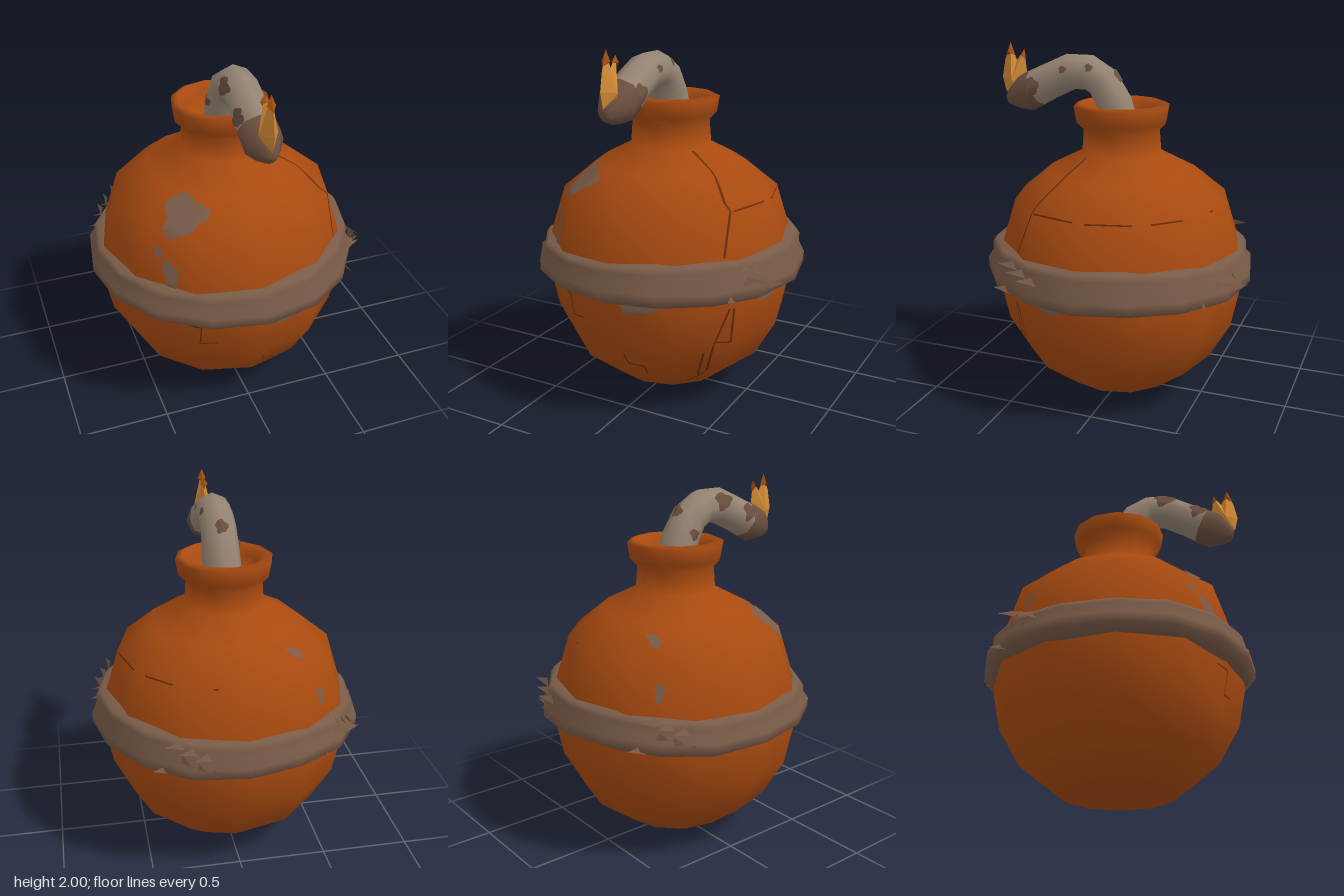
import * as THREE from 'three';
import { mergeVertices } from 'three/addons/utils/BufferGeometryUtils.js';

const V = (x, y, z) => new THREE.Vector3(x, y, z);

function meshFrom(positions, index, material, name) {
  const g = new THREE.BufferGeometry();
  g.setAttribute('position', new THREE.Float32BufferAttribute(positions, 3));
  if (index) g.setIndex(index);
  g.computeVertexNormals();
  const m = new THREE.Mesh(g, material);
  m.name = name;
  return m;
}

// Lathe with welded seam, each vertex moved by a rule
function turned(profile, sides, rule, material, name) {
  let g = new THREE.LatheGeometry(profile.map(p => new THREE.Vector2(...p)), sides);
  g.deleteAttribute('uv');
  g.deleteAttribute('normal');
  g = mergeVertices(g, 1e-4);
  const pos = g.attributes.position, v = V();
  for (let i = 0; i < pos.count; i++) {
    rule(v.fromBufferAttribute(pos, i));
    pos.setXYZ(i, v.x, v.y, v.z);
  }
  g.computeVertexNormals();
  const m = new THREE.Mesh(g, material);
  m.name = name;
  return m;
}

// Tube along [z, y, radius] stations
function swept(stations, x, sides, material, name) {
  const pos = [], idx = [], last = stations.length - 1;
  stations.forEach(([z, y, r], i) => {
    const a = stations[Math.max(0, i - 1)], b = stations[Math.min(last, i + 1)];
    const len = Math.hypot(b[0] - a[0], b[1] - a[1]);
    const tz = (b[0] - a[0]) / len, ty = (b[1] - a[1]) / len;
    for (let j = 0; j < sides; j++) {
      const t = j / sides * Math.PI * 2, c = r * Math.cos(t), s = r * Math.sin(t);
      pos.push(x + c, y + s * tz, z - s * ty);
      if (i < last) {
        const p = i * sides + j, q = i * sides + (j + 1) % sides;
        idx.push(p, q, p + sides, q, q + sides, p + sides);
      }
    }
  });
  return meshFrom(pos, idx, material, name);
}

// Drop a point onto a mesh, lifted slightly off it
const ray = new THREE.Raycaster();
function drop(target, from, dir, lift) {
  ray.set(from, dir);
  const hit = ray.intersectObject(target)[0];
  return hit ? hit.point.addScaledVector(hit.face.normal, lift) : null;
}

function frame(dir) {
  const right = dir.clone().cross(Math.abs(dir.y) > 0.95 ? V(0, 0, -1) : V(0, 1, 0)).normalize();
  return [right, right.clone().cross(dir)];
}

// Ragged painted spot laid over a surface
function spot(target, at, dir, w, h, material, name) {
  dir.normalize();
  const [u, v] = frame(dir), pos = [], idx = [], n = 18, rings = 4;
  let prev = at;
  for (let k = 0; k <= rings; k++) for (let j = 0; j < n; j++) {
    const t = j / n * Math.PI * 2;
    const r = k / rings * (1 + 0.15 * Math.sin(3 * t + 1) + 0.12 * Math.sin(5 * t));
    const from = at.clone().addScaledVector(u, r * w * Math.cos(t))
      .addScaledVector(v, r * h * Math.sin(t)).addScaledVector(dir, -1);
    prev = drop(target, from, dir, 0.007) || prev;
    pos.push(prev.x, prev.y, prev.z);
    if (k < rings) {
      const a = k * n + j, b = k * n + (j + 1) % n;
      idx.push(a, a + n, b + n, a, b + n, b);
    }
  }
  return meshFrom(pos, idx, material, name);
}

// Thin crack line through 2D points, laid over a surface along dir
function crack(target, points, dir, material) {
  const [u, v] = frame(dir), pos = [], idx = [];
  for (let i = 0; i < points.length - 1; i++) {
    const a = points[i], b = points[i + 1], l = Math.hypot(b[0] - a[0], b[1] - a[1]);
    const nx = -(b[1] - a[1]) / l * 0.004, ny = (b[0] - a[0]) / l * 0.004;
    const base = pos.length / 3, steps = 8;
    for (let k = 0; k <= steps; k++) for (const s of [-1, 1]) {
      const f = k / steps;
      const from = u.clone().multiplyScalar(a[0] + (b[0] - a[0]) * f + s * nx)
        .addScaledVector(v, a[1] + (b[1] - a[1]) * f + s * ny).addScaledVector(dir, -2);
      const p = drop(target, from, dir, 0.004) || from.addScaledVector(dir, 2);
      pos.push(p.x, p.y, p.z);
      if (k < steps && s < 0) {
        const q = base + k * 2;
        idx.push(q, q + 2, q + 1, q + 1, q + 2, q + 3);
      }
    }
  }
  return meshFrom(pos, idx, material, 'crack');
}

// Faceted flame: [z, y] outline swelling to a ridge on both sides
function flamePart(outline, [cz, cy], x, half, material, name) {
  const pos = [];
  outline.forEach((p, i) => {
    const q = outline[(i + 1) % outline.length];
    pos.push(x + half, cy, cz, x, p[1], p[0], x, q[1], q[0]);
    pos.push(x - half, cy, cz, x, q[1], q[0], x, p[1], p[0]);
  });
  return meshFrom(pos, null, material, name);
}

export function createModel() {
  const mat = (name, color, side = THREE.FrontSide) =>
    Object.assign(new THREE.MeshStandardMaterial({ color, side }), { name });
  const clay = mat('clay', 0xa84a10);
  const cloth = mat('cloth', 0x795b48, THREE.DoubleSide);
  const cord = mat('cord', 0x958473);
  const char = mat('char', 0x6b4f3f);
  const dark = mat('crack', 0x6a2c0a, THREE.DoubleSide);
  const fire = mat('flame', 0xd48c35, THREE.DoubleSide);
  const ember = mat('ember', 0xa8520f, THREE.DoubleSide);
  const group = new THREE.Group();

  // Round pot with neck, rolled rim and hollow mouth
  const dent = V(-0.42, 0.6, 0.56);
  const pot = turned([[0, 0], [0.33, 0.075], [0.54, 0.24], [0.66, 0.45], [0.705, 0.67], [0.69, 0.9],
    [0.605, 1.17], [0.42, 1.32], [0.225, 1.42], [0.215, 1.55], [0.255, 1.59], [0.27, 1.68],
    [0.235, 1.695], [0.185, 1.64], [0.17, 1.56], [0, 1.54]], 12, v => {
    const d = v.distanceTo(dent);
    if (d < 0.25) v.multiply(V(0.94, 1, 0.94));
  }, clay, 'pot');
  group.add(pot);

  // Cloth band wrapped around the middle, slightly uneven
  group.add(turned([[0.66, 0.7], [0.715, 0.705], [0.765, 0.735], [0.765, 0.79], [0.735, 0.83],
    [0.735, 0.88], [0.715, 0.91], [0.65, 0.915]], 16, v => {
    const t = Math.atan2(v.x, v.z), k = 1 + 0.008 * Math.sin(5 * t) + 0.006 * Math.sin(3 * t + 1);
    v.set(v.x * k, v.y + (v.y > 0.8 ? 0.022 * Math.sin(t) : 0) + 0.007 * Math.sin(4 * t), v.z * k);
  }, cloth, 'clothBand'));

  // Torn threads where the cloth is frayed
  const fray = [];
  for (const centre of [1.12, 2.73, -2.3]) for (let i = 0; i < 7; i++) {
    const t = centre + (i - 3) * 0.05, y = 0.74 + ((i * 3) % 7) * 0.027, s = i % 2 ? 1 : -1;
    const p = (r, a, h) => fray.push(r * Math.sin(a), h, r * Math.cos(a));
    p(0.735, t, y - 0.02);
    p(0.735, t + s * 0.04, y + 0.025);
    p(0.8, t + s * 0.11, y + 0.01);
  }
  group.add(meshFrom(fray, null, cloth, 'frayedThreads'));

  // Bent cord and its charred end
  const cordMesh = swept([[0.0, 1.53, 0.115], [0.04, 1.69, 0.105], [0.105, 1.8, 0.1], [0.19, 1.85, 0.1],
    [0.3, 1.85, 0.1], [0.43, 1.79, 0.1], [0.54, 1.735, 0.105]], 0.01, 8, cord, 'fuseCord');
  group.add(cordMesh);
  group.add(swept([[0.51, 1.75, 0.106], [0.585, 1.715, 0.108], [0.65, 1.69, 0.07], [0.69, 1.675, 0.035],
    [0.695, 1.673, 0.001]], 0.01, 8, char, 'charredEnd'));

  // Flame with two darker tips
  group.add(flamePart([[0.62, 1.67], [0.71, 1.72], [0.73, 1.8], [0.71, 1.9], [0.672, 1.99], [0.635, 1.9],
    [0.587, 1.96], [0.575, 1.85], [0.57, 1.76]], [0.65, 1.79], 0.01, 0.05, fire, 'flame'));
  group.add(flamePart([[0.704, 1.92], [0.672, 2.0], [0.645, 1.925]], [0.673, 1.945], 0.01, 0.024, ember, 'flameTip'));
  group.add(flamePart([[0.612, 1.928], [0.587, 1.965], [0.578, 1.9]], [0.592, 1.93], 0.01, 0.022, ember, 'flameTip'));

  // Worn spots on the pot: position, direction, half width, half height
  for (const [p, d, w, h] of [
    [[-0.32, 1.22, 0.36], [0.5, -0.8, -0.6], 0.115, 0.12],
    [[-0.44, 0.96, 0.5], [0, 0, -1], 0.032, 0.075],
    [[-0.48, 1.06, 0.42], [0, 0, -1], 0.02, 0.028],
    [[0.16, 0.69, 0.68], [0, 0, -1], 0.1, 0.04],
    [[0.69, 0.69, 0.16], [-1, 0, 0], 0.07, 0.025],
    [[-0.3, 1.22, -0.38], [0.2, -1, 0.25], 0.05, 0.028],
    [[-0.45, 1.02, -0.47], [1, 0, 1], 0.025, 0.05],
  ]) group.add(spot(pot, V(...p), V(...d), w, h, cloth, 'wornSpot'));

  // Scorch spots on the cord
  for (const [p, d, w, h] of [
    [[0.01, 1.8, 0.04], [0, -1, 0.5], 0.032, 0.032],
    [[-0.07, 1.88, 0.28], [0.7, -0.7, 0], 0.06, 0.04],
    [[-0.07, 1.8, 0.48], [0.7, -0.7, 0], 0.05, 0.04],
    [[0.1, 1.89, 0.16], [-1, -0.4, 0], 0.02, 0.022],
    [[0.1, 1.87, 0.31], [-1, -0.4, 0], 0.022, 0.02],
    [[0.1, 1.77, 0.5], [-1, -0.2, 0], 0.04, 0.05],
    [[-0.09, 1.72, 0.06], [1, 0, 0], 0.03, 0.03],
  ]) group.add(spot(cordMesh, V(...p), V(...d), w, h, char, 'scorchSpot'));

  // Cracks in the clay, on the front and the left
  for (const line of [
    [[-0.4, 0.66], [-0.31, 0.65], [-0.31, 0.52], [-0.22, 0.53]],
    [[0.04, 0.38], [0.05, 0.31], [0.13, 0.3], [0.13, 0.24]],
    [[0.58, 0.67], [0.55, 0.46], [0.49, 0.47]],
    [[0.43, 0.4], [0.35, 0.2], [0.26, 0.14]],
  ]) group.add(crack(pot, line, V(0, 0, -1), dark));
  for (const line of [
    [[-0.3, 1.165], [0.57, 1.165]],
    [[-0.4, 0.94], [-0.3, 1.2], [-0.13, 1.41]],
    [[-0.4, 0.67], [-0.42, 0.45], [-0.3, 0.14]],
  ]) group.add(crack(pot, line, V(-1, 0, 0), dark));

  return group;
}
